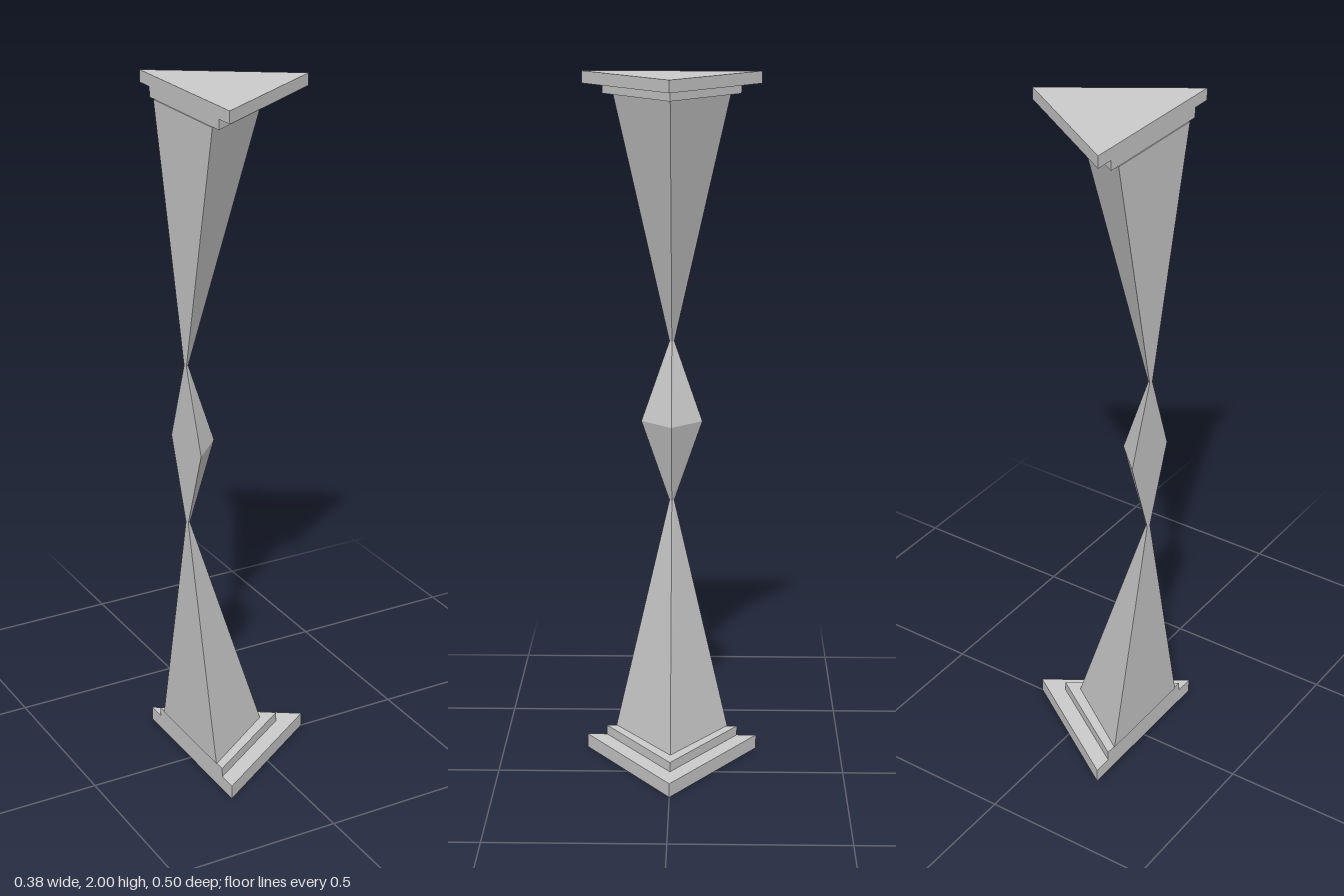
import * as THREE from 'three';

const material = new THREE.MeshStandardMaterial({ color: 0xcccccc, flatShading: true });

// Stacks triangular sections [y, back x, tip x, half width] into a closed solid.
function triangularSolid(name, sections) {
  const rings = sections.map(([y, back, tip, half]) => [
    [back, y, half], [tip, y, 0], [back, y, -half],
  ]);
  const positions = [];
  const tri = (a, b, c) => positions.push(...a, ...b, ...c);
  for (let i = 0; i < rings.length - 1; i++) {
    const lower = rings[i], upper = rings[i + 1];
    for (let j = 0; j < 3; j++) {
      const k = (j + 1) % 3;
      tri(lower[j], lower[k], upper[k]);
      tri(lower[j], upper[k], upper[j]);
    }
  }
  const bottom = rings[0], top = rings[rings.length - 1];
  tri(bottom[2], bottom[1], bottom[0]);
  tri(top[0], top[1], top[2]);
  const geometry = new THREE.BufferGeometry();
  geometry.setAttribute('position', new THREE.Float32BufferAttribute(positions, 3));
  geometry.computeVertexNormals();
  const mesh = new THREE.Mesh(geometry, material);
  mesh.name = name;
  return mesh;
}

// Straight triangular plate between two heights.
const plate = (name, y0, y1, tip, half) =>
  triangularSolid(name, [[y0, -0.188, tip, half], [y1, -0.188, tip, half]]);

export function createModel() {
  const group = new THREE.Group();
  group.name = 'triangularColumn';

  // Stepped base and capital
  group.add(
    plate('baseSlab', 0, 0.041, 0.188, 0.251),
    plate('baseStep', 0.041, 0.069, 0.101, 0.194),
    plate('capitalStep', 1.938, 1.966, 0.101, 0.194),
    plate('capitalSlab', 1.966, 2, 0.188, 0.251),
  );

  // Shaft pinched at two necks, with a diamond swelling between them
  const back = -0.191;
  group.add(triangularSolid('shaft', [
    [0.069, back, 0.045, 0.165],
    [0.766, back, -0.182, 0.007],
    [1.002, back, -0.104, 0.088],
    [1.237, back, -0.182, 0.007],
    [1.938, back, 0.045, 0.165],
  ]));
  return group;
}
